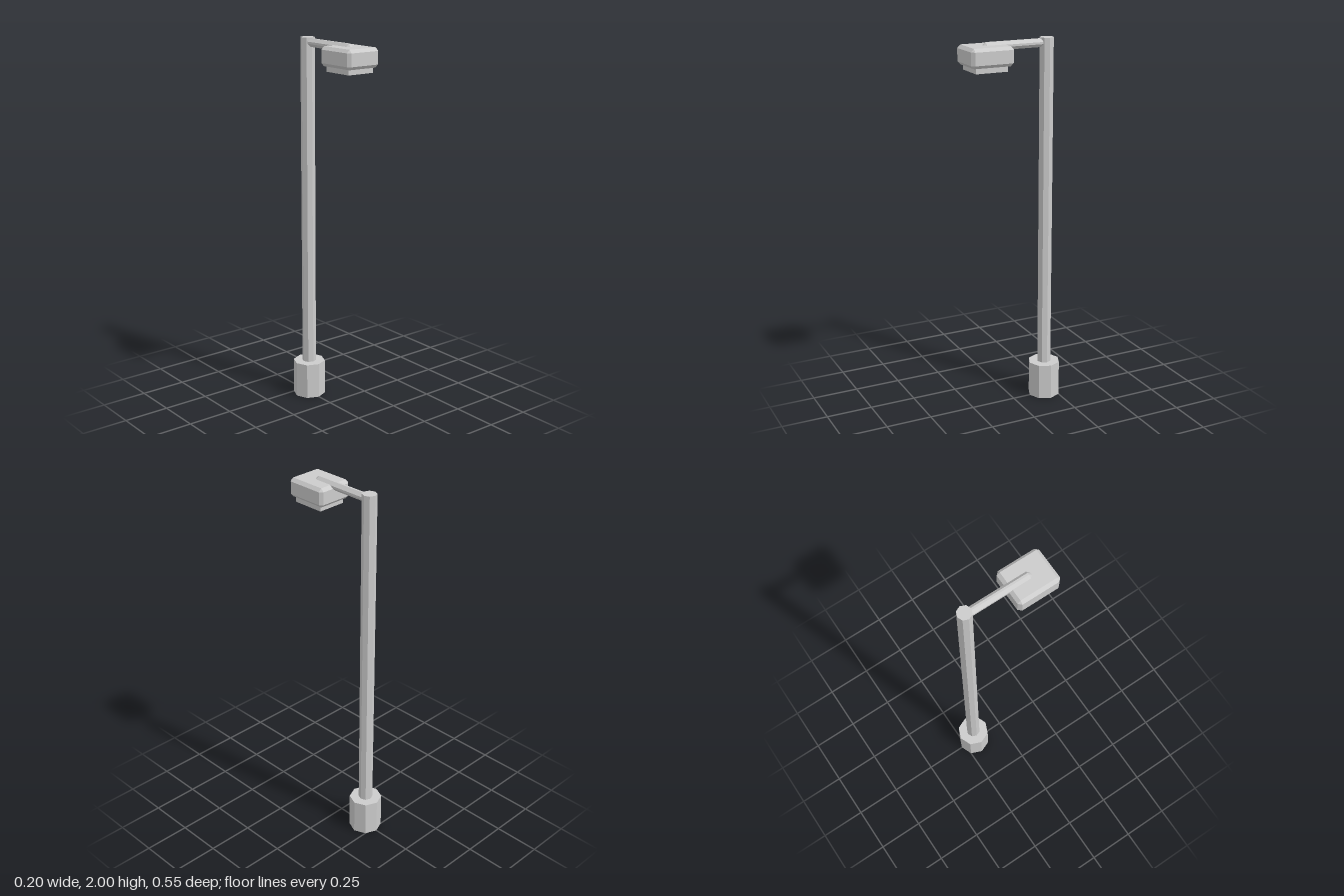
import * as THREE from 'three';
import { ConvexGeometry } from 'three/addons/geometries/ConvexGeometry.js';

const POLE_Z = -0.188;
const LAMP_Z = 0.158;

// Box with every edge cut off by a flat chamfer c
function chamferedBox(w, h, d, c) {
  const points = [];
  for (const x of [-1, 1]) for (const y of [-1, 1]) for (const z of [-1, 1]) {
    const X = w / 2, Y = h / 2, Z = d / 2;
    points.push(
      new THREE.Vector3(x * X, y * (Y - c), z * (Z - c)),
      new THREE.Vector3(x * (X - c), y * Y, z * (Z - c)),
      new THREE.Vector3(x * (X - c), y * (Y - c), z * Z)
    );
  }
  return new ConvexGeometry(points);
}

export function createModel() {
  const group = new THREE.Group();
  const metal = new THREE.MeshStandardMaterial({ color: 0xcccccc });
  metal.name = 'grey metal';
  metal.flatShading = true;

  const add = (name, geometry, y, z) => {
    const mesh = new THREE.Mesh(geometry, metal);
    mesh.name = name;
    mesh.position.set(0, y, z);
    group.add(mesh);
  };

  // Octagonal footing and pole
  add('base', new THREE.CylinderGeometry(0.088, 0.088, 0.197, 8), 0.0985, POLE_Z);
  add('pole', new THREE.CylinderGeometry(0.038, 0.038, 1.803, 8), 1.0985, POLE_Z);

  // Arm reaching from inside the pole to the middle of the lamp
  add('arm', chamferedBox(0.044, 0.044, 0.355, 0.0165), 1.973, -0.0035);

  // Lamp housing with the light panel below it
  add('lampHousing', chamferedBox(0.2, 0.1, 0.234, 0.0165), 1.93, LAMP_Z);
  add('lightPanel', new THREE.BoxGeometry(0.157, 0.04, 0.176), 1.873, LAMP_Z);

  return group;
}
